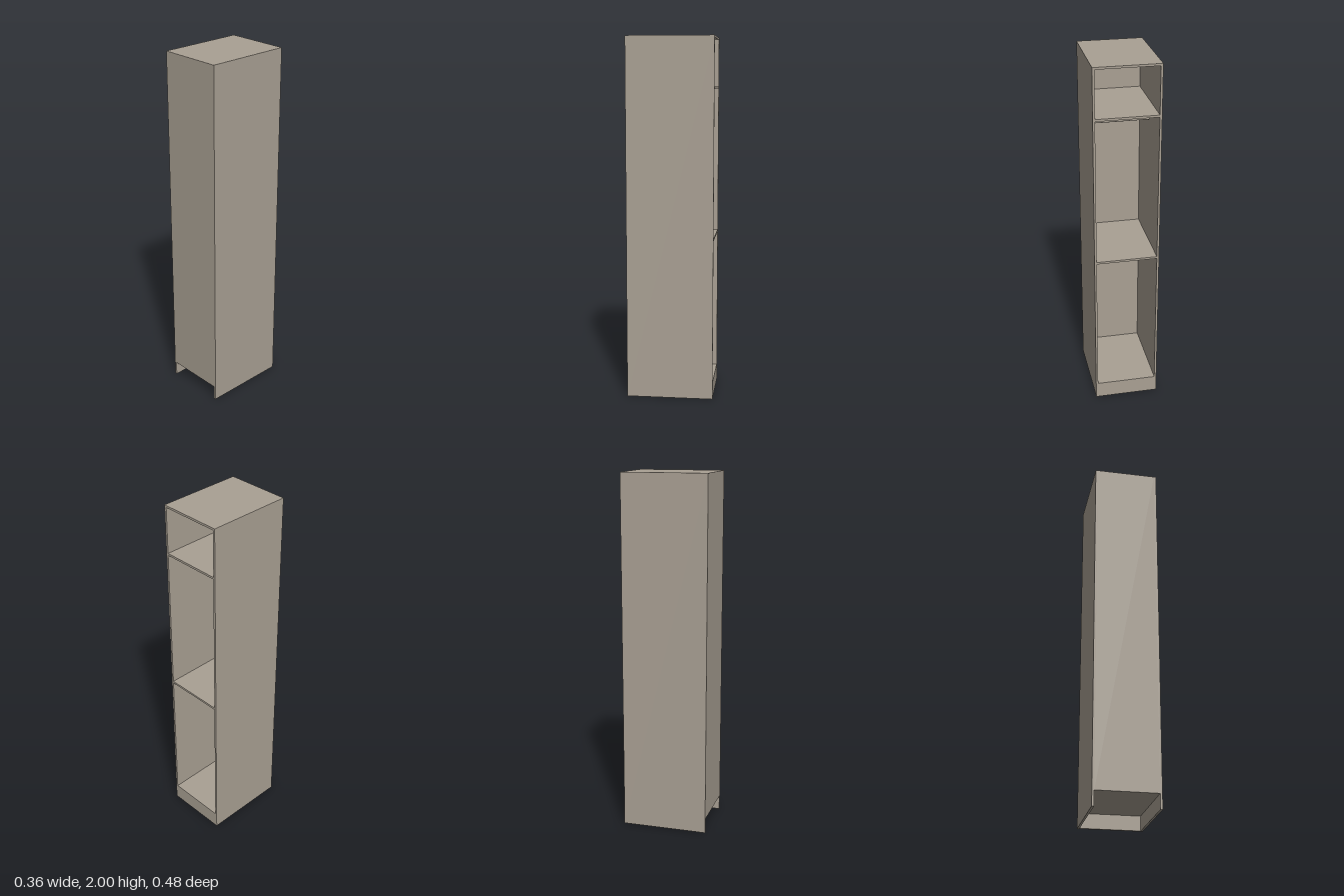
import * as THREE from 'three';

export function createModel() {
  const W = 0.36, H = 2, D = 0.48; // outer size
  const T = 0.012;                 // board thickness
  const PLINTH = 0.082;            // height of the underside of the floor board
  const innerW = W - 2 * T;

  const board = new THREE.MeshStandardMaterial({ color: 0xa9a093 });
  board.name = 'greige board';

  const cabinet = new THREE.Group();
  cabinet.name = 'cabinet';

  const add = (name, geometry, x, y, z) => {
    const mesh = new THREE.Mesh(geometry, board);
    mesh.name = name;
    mesh.position.set(x, y, z);
    cabinet.add(mesh);
    return mesh;
  };
  const panel = (name, w, h, d, x, y, z) => add(name, new THREE.BoxGeometry(w, h, d), x, y, z);

  // Full-height sides
  panel('leftSide', T, H, D, (W - T) / 2, H / 2, 0);
  panel('rightSide', T, H, D, -(W - T) / 2, H / 2, 0);

  // Closed front, stopping above the toe recess
  panel('frontPanel', innerW, H - PLINTH, T, 0, (H + PLINTH) / 2, (D - T) / 2);

  // Plinth below the open back
  panel('plinth', innerW, PLINTH, T, 0, PLINTH / 2, -(D - T) / 2);

  // Horizontal boards, placed by their top surface, butting against the front
  const boards = { floor: PLINTH + T, middleShelf: 0.906, upperShelf: 1.73, top: H };
  for (const [name, topY] of Object.entries(boards)) {
    panel(name, innerW, T, D - T, 0, topY - T / 2, -T / 2);
  }

  // Hanging rails under the two shelves
  for (const [name, shelf] of [['lowerRail', 'middleShelf'], ['upperRail', 'upperShelf']]) {
    const rail = new THREE.CylinderGeometry(0.008, 0.008, innerW, 24);
    rail.rotateZ(Math.PI / 2);
    add(name, rail, 0, boards[shelf] - 0.103, 0);
  }

  return cabinet;
}
